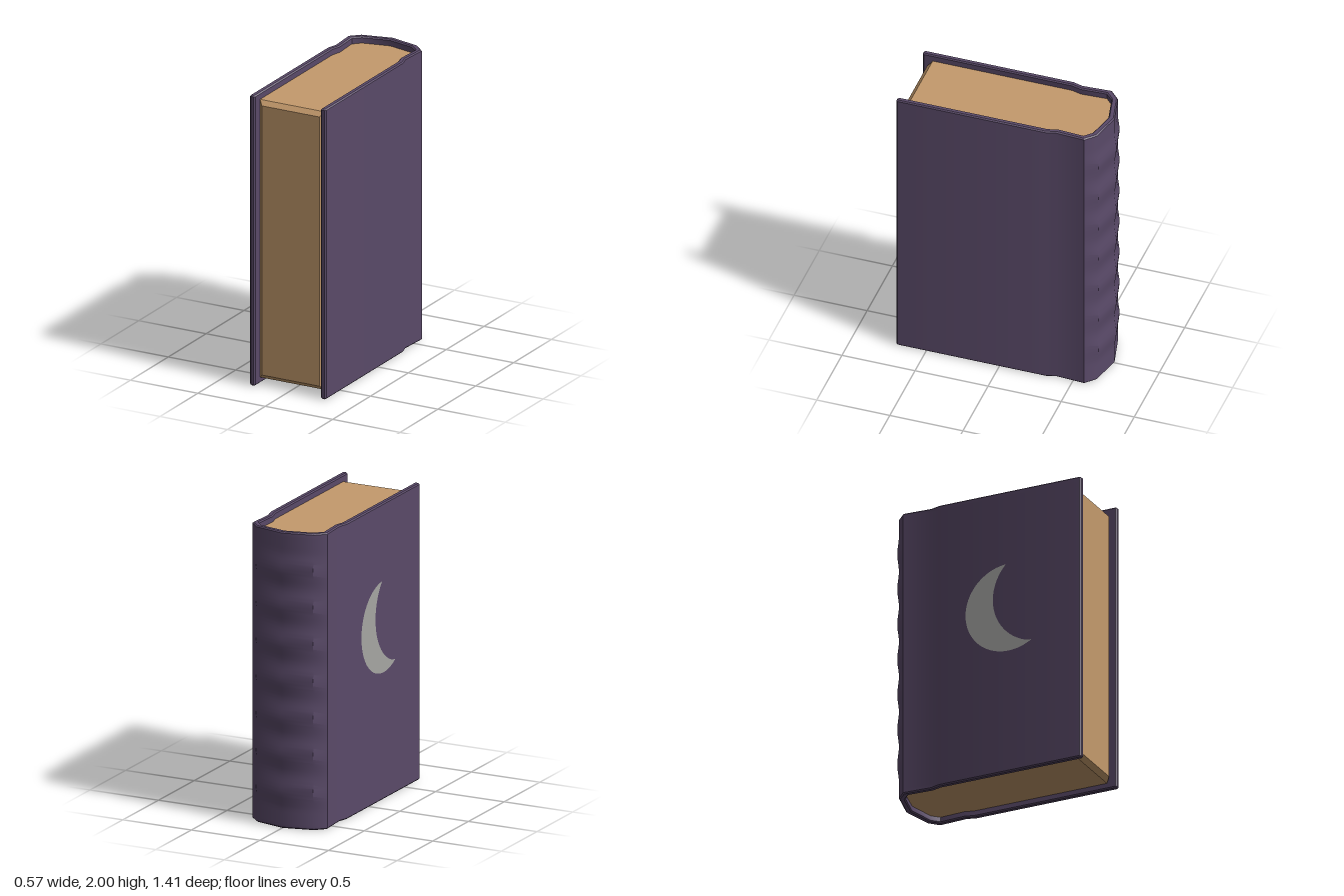
import * as THREE from 'three';
import { toCreasedNormals } from 'three/addons/utils/BufferGeometryUtils.js';

const material = (name, color) => {
  const m = new THREE.MeshStandardMaterial({ color });
  m.name = name;
  return m;
};

// mirror a half outline given as [x, z], running from the front to the spine middle
function outline(half) {
  const other = half.slice(0, -1).reverse().map(([x, z]) => [-x, z]);
  return [...half, ...other];
}
const toShape = (pts) => new THREE.Shape(pts.map(([x, z]) => new THREE.Vector2(x, -z)));

// extrude a ground-plan shape upwards
function extrudeUp(shape, options, y) {
  const g = new THREE.ExtrudeGeometry(shape, options);
  g.rotateX(-Math.PI / 2);
  g.translate(0, y, 0);
  return g;
}

// wrap-around cover with raised bands on the spine
function coverGeometry() {
  const outer = outline([
    [0.273, 0.705], [0.282, 0.696], [0.282, -0.32], [0.263, -0.385],
    [0.274, -0.58], [0.208, -0.643], [0, -0.693],
  ]);
  const inner = outline([
    [0.252, 0.705], [0.243, 0.696], [0.243, -0.32], [0.225, -0.385],
    [0.234, -0.56], [0.185, -0.608], [0, -0.651],
  ]);
  const bevel = 0.008;
  const g = extrudeUp(toShape([...outer, ...inner.reverse()]), {
    depth: 2 - 2 * bevel, steps: 80, bevelEnabled: true, bevelSegments: 1,
    bevelSize: bevel, bevelThickness: bevel, bevelOffset: -bevel,
  }, bevel);
  // push the outer spine surface out in seven soft bands
  const p = g.attributes.position;
  for (let i = 0; i < p.count; i++) {
    const x = p.getX(i), y = p.getY(i), z = p.getZ(i);
    if (z < -0.57 && -z + 0.3 * Math.abs(x) > 0.66 + 0.005 && y > 0.125 && y < 1.875) {
      p.setZ(i, z - 0.006 * (1 + Math.cos(8 * Math.PI * y)));
    }
  }
  return toCreasedNormals(g, 0.6);
}

// page block following the inside of the cover
function pagesGeometry() {
  const pts = outline([
    [0.243, 0.635], [0.243, -0.32], [0.226, -0.385],
    [0.234, -0.56], [0.185, -0.608], [0, -0.65],
  ]);
  return extrudeUp(toShape(pts), { depth: 1.915, bevelEnabled: false }, 0.04);
}

// chamfered front of the page block
function foreEdgeGeometry() {
  const g = new THREE.BoxGeometry(0.486, 1.915, 0.03);
  const p = g.attributes.position;
  for (let i = 0; i < p.count; i++) {
    if (p.getZ(i) > 0) {
      p.setX(i, p.getX(i) - 0.03 * Math.sign(p.getX(i)));
      p.setY(i, p.getY(i) - 0.03 * Math.sign(p.getY(i)));
    }
  }
  g.computeVertexNormals();
  g.translate(0, 0.9975, 0.65);
  return g;
}

// crescent plate on the right cover
function crescentGeometry() {
  const rad = THREE.MathUtils.degToRad;
  const s = new THREE.Shape();
  s.absarc(0.185, 1.17, 0.31, rad(94), rad(302), false);
  s.absarc(0.42, 1.242, 0.348, rad(259), rad(137), true);
  const g = new THREE.ShapeGeometry(s, 32);
  g.rotateY(-Math.PI / 2);
  g.translate(-0.285, 0, 0);
  return g;
}

export function createModel() {
  const purple = material('cover purple', 0x5a4a69);
  const paper = material('paper tan', 0xc49a6c);
  const silver = material('crescent grey', 0xa6a6a3);

  const book = new THREE.Group();
  book.name = 'book';
  const add = (name, geometry, mat) => {
    const mesh = new THREE.Mesh(geometry, mat);
    mesh.name = name;
    book.add(mesh);
  };
  add('cover', coverGeometry(), purple);
  add('pages', pagesGeometry(), paper);
  add('foreEdge', foreEdgeGeometry(), paper);
  add('crescent', crescentGeometry(), silver);
  return book;
}
